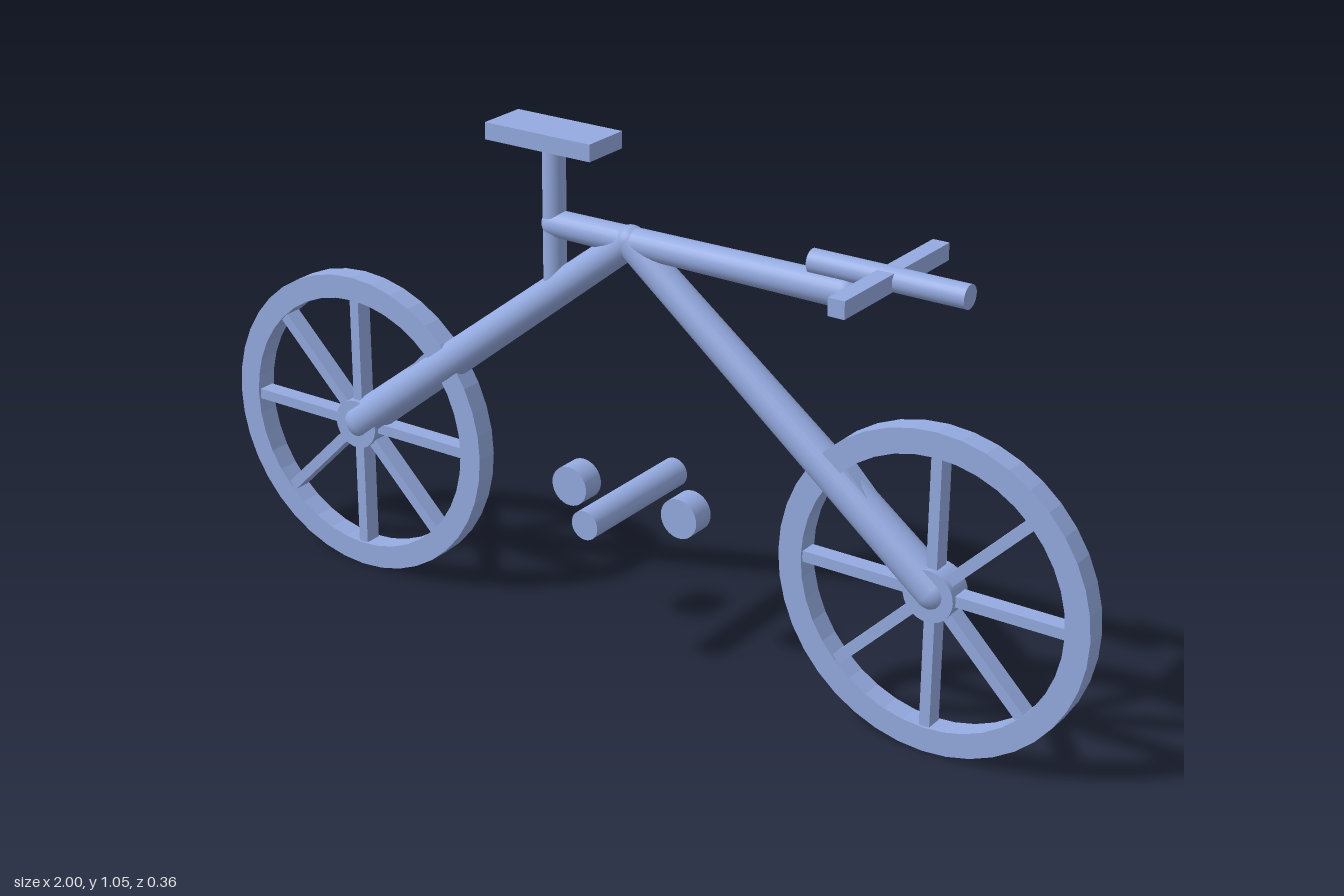
import * as THREE from 'three';

export function createModel() {
  const model = new THREE.Group();
  const paint = new THREE.MeshStandardMaterial({ color: 0x94aae0 });

  function add(name, geometry, position = [0, 0, 0], parent = model) {
    const mesh = new THREE.Mesh(geometry, paint);
    mesh.name = name;
    mesh.position.set(...position);
    parent.add(mesh);
    return mesh;
  }

  // Tapered tube between two points, with ball ends
  function tube(name, a, b, ra, rb) {
    const group = new THREE.Group();
    group.name = name;
    const start = new THREE.Vector3(...a), end = new THREE.Vector3(...b);
    const dir = end.clone().sub(start);
    const mid = start.clone().lerp(end, 0.5);
    const shaft = add(name + 'Shaft', new THREE.CylinderGeometry(rb, ra, dir.length(), 24, 1, true), mid.toArray(), group);
    shaft.quaternion.setFromUnitVectors(new THREE.Vector3(0, 1, 0), dir.normalize());
    add(name + 'StartBall', new THREE.SphereGeometry(ra, 24, 16), a, group);
    add(name + 'EndBall', new THREE.SphereGeometry(rb, 24, 16), b, group);
    model.add(group);
  }

  // Cylinder lying along z
  const axleGeometry = (r, length) => new THREE.CylinderGeometry(r, r, length, 32).rotateX(Math.PI / 2);

  const R = 0.3225, wheelX = 0.6775, apexY = 0.857;

  // Wheels: ring rim, hub and four full-width bars making eight spokes
  const ring = new THREE.Shape().absarc(0, 0, R, 0, Math.PI * 2, false);
  ring.holes.push(new THREE.Path().absarc(0, 0, 0.273, 0, Math.PI * 2, true));
  const rim = new THREE.ExtrudeGeometry(ring, { depth: 0.046, bevelEnabled: false, curveSegments: 20 });
  rim.translate(0, 0, -0.023);

  for (const side of [-1, 1]) {
    const wheel = new THREE.Group();
    wheel.name = side > 0 ? 'frontWheel' : 'rearWheel';
    wheel.position.set(side * wheelX, R, 0);
    add('rim', rim, [0, 0, 0], wheel);
    add('hub', axleGeometry(0.052, 0.056), [0, 0, 0], wheel);
    for (let i = 0; i < 4; i++) {
      add('spoke', new THREE.BoxGeometry(0.56, 0.022, 0.036), [0, 0, 0], wheel).rotation.z = i * Math.PI / 4;
    }
    model.add(wheel);

    // Sloping frame tube from the apex down to the hub
    tube(side > 0 ? 'frontFrameTube' : 'rearFrameTube', [0, apexY, 0], [side * wheelX, R + 0.003, 0], 0.031, 0.04);

    // Pedal disc
    add('pedal', axleGeometry(0.041, 0.05), [side * 0.13, 0.326, 0]);
  }

  // Top tube
  tube('topTube', [-0.175, apexY, 0], [0.469, apexY, 0], 0.027, 0.031);

  // Crank axle
  add('crankAxle', axleGeometry(0.03, 0.304), [0, 0.326, 0]);

  // Seat and post
  add('seatPost', new THREE.CylinderGeometry(0.023, 0.023, 0.3, 24), [-0.177, 0.87, 0]);
  add('seat', new THREE.BoxGeometry(0.244, 0.034, 0.104), [-0.178, 1.031, 0]);

  // Handlebar: square crossbar on a round stem
  add('handlebarStem', new THREE.CylinderGeometry(0.023, 0.023, 0.32, 24).rotateZ(Math.PI / 2), [0.558, 0.902, 0]);
  add('handlebar', new THREE.BoxGeometry(0.034, 0.034, 0.364), [0.558, 0.902, 0]);

  return model;
}
